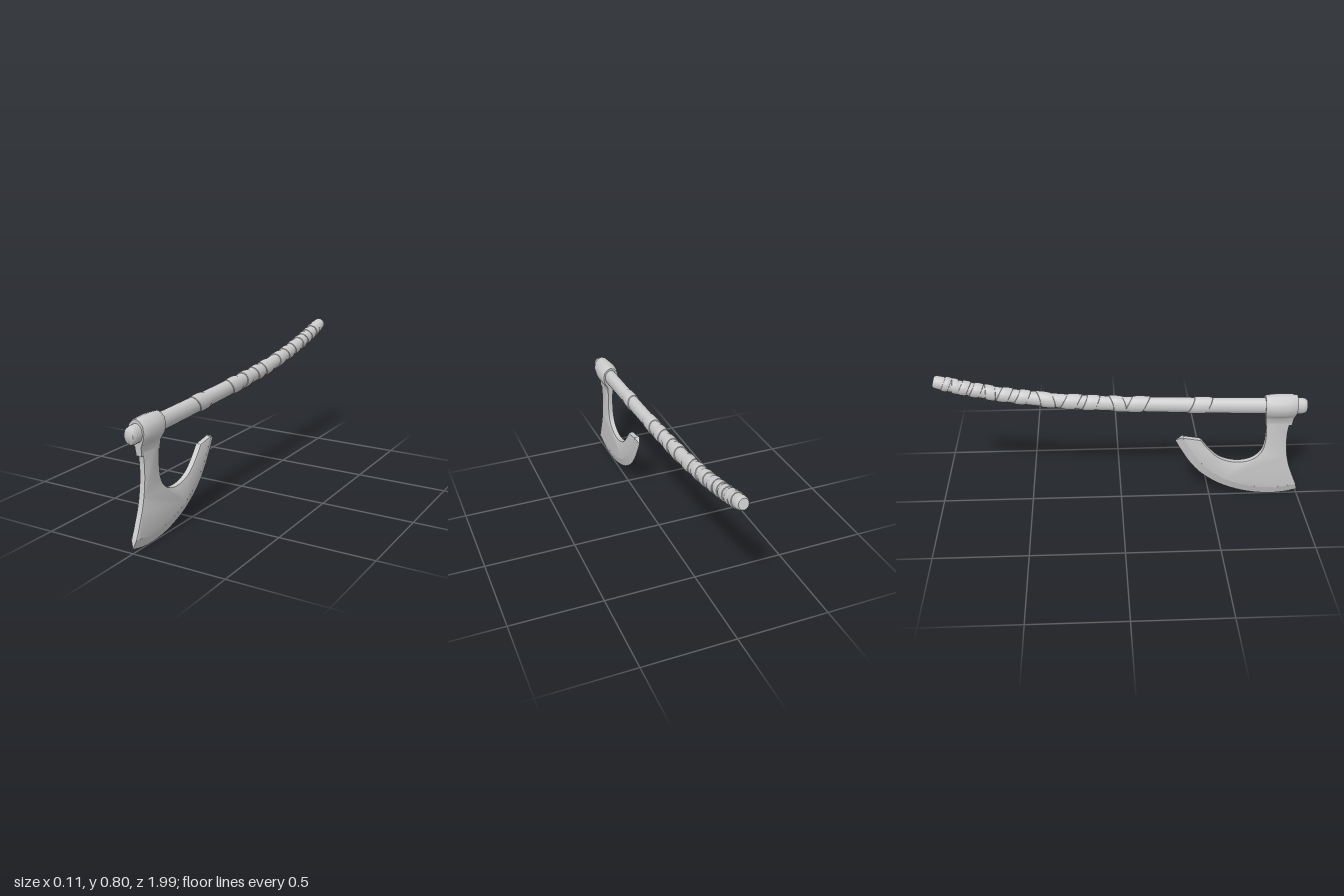
import * as THREE from 'three';
import { toCreasedNormals } from 'three/addons/utils/BufferGeometryUtils.js';

const material = new THREE.MeshStandardMaterial({ color: 0xcccccc });

function addMesh(group, geometry, name, crease = 0.6) {
  const mesh = new THREE.Mesh(toCreasedNormals(geometry, crease), material);
  mesh.name = name;
  group.add(mesh);
}

// Skin over rings of points running from front to back, closed at both ends
function loft(rings) {
  const n = rings[0].length, index = [];
  const points = rings.flat();
  const at = (i, j) => i * n + (j % n);
  for (let i = 0; i < rings.length - 1; i++) {
    for (let j = 0; j < n; j++) {
      const a = at(i, j), b = at(i, j + 1), c = at(i + 1, j + 1), d = at(i + 1, j);
      index.push(a, d, b, b, d, c);
    }
  }
  const last = rings.length - 1;
  for (const i of [0, last]) {
    const centre = rings[i].reduce((s, p) => s.add(p), new THREE.Vector3()).divideScalar(n);
    const k = points.push(centre) - 1;
    for (let j = 0; j < n; j++) {
      if (i === 0) index.push(k, at(i, j), at(i, j + 1));
      else index.push(k, at(i, j + 1), at(i, j));
    }
  }
  const geometry = new THREE.BufferGeometry().setFromPoints(points);
  geometry.setIndex(index);
  return geometry;
}

// Centre line of the haft, from the head end to the grip end
const haftPath = new THREE.CatmullRomCurve3([
  [0.573, 1], [0.582, 0.7], [0.593, 0.4], [0.604, 0.15], [0.618, -0.1],
  [0.641, -0.35], [0.679, -0.6], [0.727, -0.82], [0.77, -0.977],
].map(([y, z]) => new THREE.Vector3(0, y, z)));

const SIDES = 20;

// Point on the haft surface; scale shrinks it for the ends, grow thickens it for the wraps
function haftPoint(u, angle, scale = 1, grow = 0) {
  const t = THREE.MathUtils.clamp(u, 0, 1);
  const p = haftPath.getPointAt(t), d = haftPath.getTangentAt(t);
  const rx = (0.035 + grow) * scale;
  const ry = (THREE.MathUtils.lerp(0.047, 0.036, t) + grow) * scale;
  const s = Math.sin(angle) * ry;
  return new THREE.Vector3(Math.cos(angle) * rx, p.y - d.z * s, p.z + d.y * s);
}

const ringOf = (f) => Array.from({ length: SIDES }, (_, j) => f((j / SIDES) * Math.PI * 2));

function buildHaft(group) {
  const stations = [[0, 0.72], [0.004, 0.9], [0.012, 1]];
  for (let i = 1; i < 40; i++) stations.push([0.012 + (i / 40) * 0.974, 1]);
  stations.push([0.986, 1], [0.996, 0.92], [1, 0.75]);
  addMesh(group, loft(stations.map(([u, s]) => ringOf((a) => haftPoint(u, a, s)))), 'haft', 0.9);
}

// Slanted bands wound around the haft, closer together towards the grip end
function buildWraps(group) {
  const bands = [
    [0.42, 0.10, 0.020], [0.09, 0.10, 0.020], [-0.02, 0.07, -0.018], [-0.16, 0.07, 0.015],
    [-0.26, 0.08, 0.018], [-0.40, 0.08, -0.020], [-0.52, 0.06, 0.014], [-0.61, 0.06, 0.012],
    [-0.69, 0.055, -0.010], [-0.76, 0.05, 0.010], [-0.82, 0.045, 0.008], [-0.87, 0.04, -0.008],
    [-0.915, 0.035, 0.006],
  ];
  const profile = [[0, -0.002], [0.04, 0.003], [0.35, 0.005], [0.7, 0.005], [0.96, 0.003], [1, -0.002]];
  bands.forEach(([z, width, slant], i) => {
    const rings = profile.map(([f, grow]) => ringOf((a) => {
      const along = z + width * (0.5 - f) + slant * Math.sin(a + 0.5 * (i % 3));
      return haftPoint((1 - along) / 1.977 * 0.997, a, 1, grow);
    }));
    addMesh(group, loft(rings), 'gripWrap' + (i + 1), 0.7);
  });
}

// Barrel-shaped eye that narrows below into the neck of the blade
function buildEye(group) {
  const half = [
    [0.015, 0.46], [0.018, 0.505], [0.034, 0.522], [0.049, 0.543], [0.057, 0.577],
    [0.049, 0.617], [0.024, 0.64],
  ];
  const section = [...half, [0, 0.647], ...half.slice().reverse().map(([x, y]) => [-x, y])];
  const stations = [
    [0.945, 0.78, 0.90], [0.938, 0.86, 0.94], [0.90, 0.96, 0.98], [0.855, 1, 1],
    [0.81, 0.96, 0.98], [0.78, 0.86, 0.93], [0.772, 0.78, 0.89],
  ];
  const rings = stations.map(([z, sx, sy]) => section.map(([x, y]) => {
    const low = THREE.MathUtils.smoothstep(0.56 - y, 0, 0.09);
    const width = y < 0.515 ? x : x * sx;
    const height = y > 0.53 ? 0.577 + (y - 0.577) * sy : y;
    return new THREE.Vector3(width, height, 0.853 + (z - 0.853) * (1 - 0.18 * low));
  }));
  addMesh(group, loft(rings), 'eyeSocket', 0.8);
}

// Bearded blade: a flat body with softened borders and a wedge along the cutting edge
function buildBlade(group) {
  const spline = (pts) => new THREE.SplineCurve(pts.map(([z, y]) => new THREE.Vector2(z, y)));
  const edge = spline([
    [1, 0.025], [0.93, 0.009], [0.85, 0.003], [0.75, 0.012], [0.65, 0.037], [0.55, 0.08],
    [0.45, 0.15], [0.38, 0.23], [0.33, 0.31], [0.295, 0.375],
  ]);
  const N = 32;
  const inset = (i, d) => {
    const p = edge.getPointAt(i / N), t = edge.getTangentAt(i / N);
    return new THREE.Vector2(p.x + t.y * d, p.y - t.x * d);
  };
  const border = Array.from({ length: N + 1 }, (_, i) => inset(i, 0.04));
  const beard = spline([
    [0.435, 0.378], [0.48, 0.32], [0.54, 0.262], [0.61, 0.234], [0.68, 0.231], [0.74, 0.253],
    [0.778, 0.30], [0.791, 0.37], [0.788, 0.46], [0.775, 0.56],
  ]).getPoints(28);
  const front = spline([
    [0.925, 0.56], [0.918, 0.48], [0.91, 0.40], [0.916, 0.30], [0.935, 0.21], [0.965, 0.13], [0.988, 0.075],
  ]).getPoints(16);
  const shape = new THREE.Shape([...border, new THREE.Vector2(0.345, 0.394), ...beard, ...front]);

  const body = new THREE.ExtrudeGeometry(shape, {
    depth: 0.018, bevelThickness: 0.007, bevelSize: 0.008, bevelOffset: -0.008, bevelSegments: 2,
  });
  body.translate(0, 0, -0.009).rotateY(-Math.PI / 2);
  addMesh(group, body, 'bladeBody', 0.7);

  const wedge = Array.from({ length: N + 1 }, (_, i) => {
    const a = inset(i, 0.049), b = inset(i, 0);
    return [
      new THREE.Vector3(0.0162, a.y, a.x),
      new THREE.Vector3(-0.0162, a.y, a.x),
      new THREE.Vector3(0, b.y, b.x),
    ];
  });
  addMesh(group, loft(wedge), 'cuttingEdge', 0.4);
}

export function createModel() {
  const group = new THREE.Group();
  group.name = 'beardedAxe';
  buildHaft(group);
  buildWraps(group);
  buildEye(group);
  buildBlade(group);
  return group;
}
